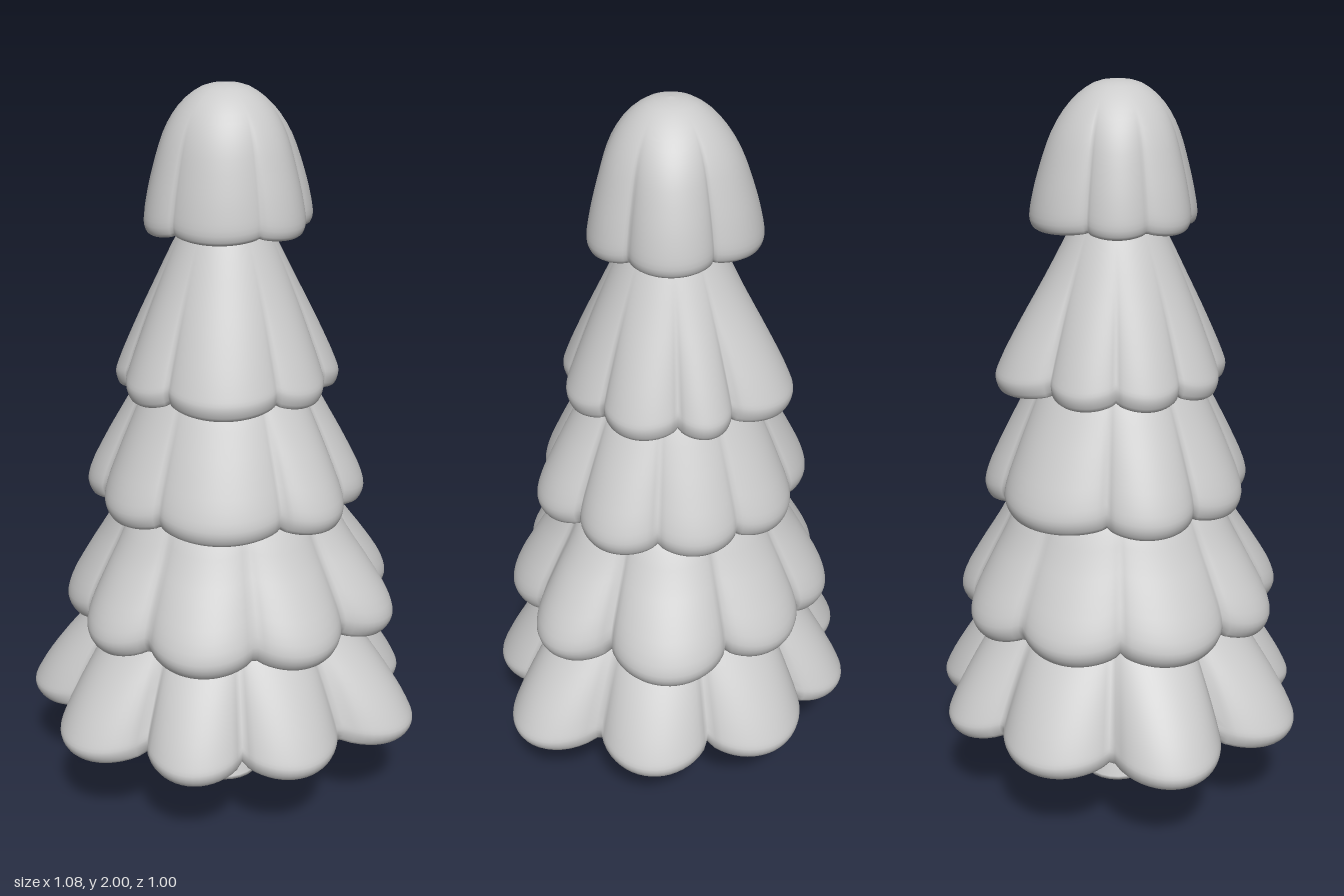
import * as THREE from 'three';

const material = new THREE.MeshStandardMaterial({ color: 0xcccccc });
const SEGMENTS = 180;

// Rim of a tier: round lobes between notch angles (degrees, from +x towards +z).
// Returns { radius, lobe }, where lobe runs from 0 in a notch to 1 at a lobe's tip.
function rimAt(deg, { notches, peaks, notchRadius }) {
  const n = notches.length;
  for (let k = 0; k < n; k++) {
    const start = notches[k];
    const end = k + 1 < n ? notches[k + 1] : notches[0] + 360;
    const offset = (((deg - start) % 360) + 360) % 360;
    if (offset < end - start) {
      const lobe = Math.pow(Math.sin((Math.PI * offset) / (end - start)), 0.7);
      return { radius: notchRadius + (peaks[k] - notchRadius) * lobe, lobe };
    }
  }
}

// Closed skirt: profile rows are [fraction of rim radius, y], from crown over the lip to the underside.
function makeTier(name, tier) {
  const curve = [];
  const { profile, lift } = tier;
  const mean = tier.peaks.reduce((a, b) => a + b, 0) / tier.peaks.length;
  // subdivide the profile smoothly
  const path = new THREE.CatmullRomCurve3(profile.map(([f, y]) => new THREE.Vector3(f, y, 0)), false, 'centripetal');
  const rows = (profile.length - 1) * 3;
  for (let i = 0; i <= rows; i++) curve.push(path.getPoint(i / rows));

  const positions = [], indices = [];
  curve.forEach((p) => {
    const f = Math.max(0, p.x);
    const weight = THREE.MathUtils.smoothstep(f, 0.3, 1); // scallops fade towards the axis
    for (let j = 0; j < SEGMENTS; j++) {
      const deg = (j * 360) / SEGMENTS;
      const { radius, lobe } = rimAt(deg, tier);
      const r = f * THREE.MathUtils.lerp(mean, radius, weight);
      const a = THREE.MathUtils.degToRad(deg);
      positions.push(r * Math.cos(a), p.y + lift * (1 - lobe) * weight, r * Math.sin(a));
    }
  });
  for (let i = 0; i < rows; i++) {
    for (let j = 0; j < SEGMENTS; j++) {
      const k = (j + 1) % SEGMENTS;
      const a = i * SEGMENTS + j, c = i * SEGMENTS + k;
      const b = a + SEGMENTS, d = c + SEGMENTS;
      indices.push(a, c, b, c, d, b);
    }
  }
  const geometry = new THREE.BufferGeometry();
  geometry.setAttribute('position', new THREE.Float32BufferAttribute(positions, 3));
  geometry.setIndex(indices);
  geometry.computeVertexNormals();
  const mesh = new THREE.Mesh(geometry, material);
  mesh.name = name;
  return mesh;
}

const TIERS = {
  bottomBranches: {
    notches: [-82, -40, 1, 41, 80, 116, 158, 199, 243],
    peaks: [0.51, 0.52, 0.56, 0.5, 0.5, 0.54, 0.55, 0.51, 0.51],
    notchRadius: 0.42, lift: 0.03,
    profile: [[0, 0.74], [0.35, 0.68], [0.6, 0.6], [0.75, 0.51], [0.89, 0.41], [0.98, 0.33],
      [1, 0.3], [0.97, 0.27], [0.9, 0.28], [0.65, 0.34], [0.35, 0.4], [0, 0.43]],
  },
  lowerBranches: {
    notches: [-86, -48, -2, 35, 75, 117, 152, 196, 237],
    peaks: [0.44, 0.48, 0.48, 0.45, 0.45, 0.45, 0.44, 0.43, 0.44],
    notchRadius: 0.39, lift: 0.03,
    profile: [[0, 1.06], [0.35, 1.01], [0.6, 0.92], [0.75, 0.81], [0.88, 0.72], [0.98, 0.64],
      [1, 0.6], [0.96, 0.565], [0.9, 0.57], [0.6, 0.61], [0, 0.65]],
  },
  middleBranches: {
    notches: [-98, -58, -20, 20, 60, 118, 160, 202],
    peaks: [0.36, 0.36, 0.375, 0.38, 0.36, 0.36, 0.375, 0.37],
    notchRadius: 0.325, lift: 0.02,
    profile: [[0, 1.42], [0.35, 1.36], [0.58, 1.25], [0.75, 1.14], [0.88, 1.05], [0.98, 0.97],
      [1, 0.935], [0.97, 0.905], [0.9, 0.905], [0.6, 0.94], [0, 0.97]],
  },
  upperBranches: {
    notches: [-122, -62, -30, 14, 56, 120, 160, 198],
    peaks: [0.33, 0.3, 0.3, 0.29, 0.295, 0.29, 0.29, 0.29],
    notchRadius: 0.26, lift: 0.02,
    profile: [[0, 1.8], [0.2, 1.73], [0.4, 1.63], [0.62, 1.5], [0.82, 1.38], [0.97, 1.28],
      [1, 1.25], [0.97, 1.22], [0.9, 1.22], [0.6, 1.25], [0, 1.28]],
  },
  treetop: {
    notches: [-140, -58, 5, 60, 128, 175],
    peaks: [0.232, 0.232, 0.22, 0.205, 0.215, 0.215],
    notchRadius: 0.195, lift: 0.012,
    profile: [[0, 2], [0.28, 1.988], [0.55, 1.94], [0.75, 1.87], [0.89, 1.78], [0.97, 1.71],
      [1, 1.665], [0.97, 1.643], [0.88, 1.643], [0.6, 1.665], [0, 1.69]],
  },
};

export function createModel() {
  const tree = new THREE.Group();
  tree.name = 'tree';
  for (const [name, tier] of Object.entries(TIERS)) tree.add(makeTier(name, tier));

  // Trunk with a flared foot and slightly domed base
  const trunkProfile = [[0, 0], [0.06, 0.01], [0.098, 0.022], [0.097, 0.032], [0.08, 0.08], [0.066, 0.14],
    [0.059, 0.22], [0.055, 0.32], [0.055, 0.5]].map(([r, y]) => new THREE.Vector2(r, y));
  const trunk = new THREE.Mesh(new THREE.LatheGeometry(trunkProfile, 24), material);
  trunk.name = 'trunk';
  tree.add(trunk);
  return tree;
}
